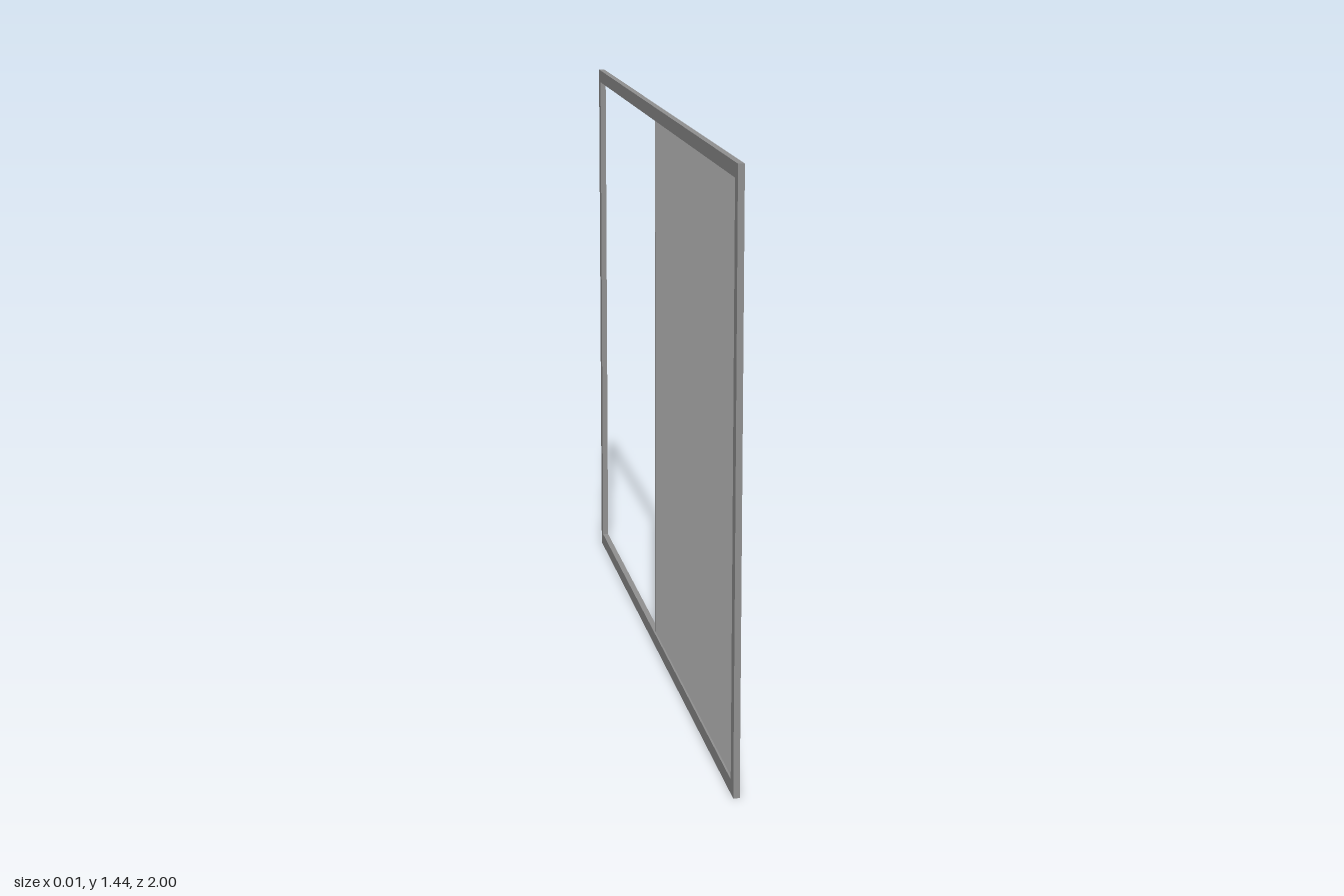
import * as THREE from 'three';

const HEIGHT = 1.44, STILE = 0.03, RAIL = 0.034, DEPTH = 0.015;

export function createModel() {
  const group = new THREE.Group();
  const frameMat = new THREE.MeshStandardMaterial({ color: 0x909090 });
  const panelMat = new THREE.MeshStandardMaterial({ color: 0xcccccc });

  function box(name, w, h, d, x, y, z, mat) {
    const mesh = new THREE.Mesh(new THREE.BoxGeometry(w, h, d), mat);
    mesh.name = name;
    mesh.position.set(x, y, z);
    group.add(mesh);
  }

  // Outer frame: one rectangle with a rectangular opening
  const outline = new THREE.Shape([
    [-1, 0], [1, 0], [1, HEIGHT], [-1, HEIGHT],
  ].map(([a, b]) => new THREE.Vector2(a, b)));
  const a = 1 - STILE, b = HEIGHT - RAIL;
  outline.holes.push(new THREE.Path([
    [-a, RAIL], [-a, b], [a, b], [a, RAIL],
  ].map(([p, q]) => new THREE.Vector2(p, q))));
  const frameGeo = new THREE.ExtrudeGeometry(outline, { depth: DEPTH, bevelEnabled: false });
  frameGeo.translate(0, 0, -DEPTH / 2);
  frameGeo.rotateY(Math.PI / 2);
  const frame = new THREE.Mesh(frameGeo, frameMat);
  frame.name = 'frame';
  group.add(frame);

  // Sliding panel filling the front half of the opening
  const front = 0.965, back = -0.054, opening = HEIGHT - 2 * RAIL;
  box('panel', 0.006, opening, front - back, 0, HEIGHT / 2, (front + back) / 2, panelMat);

  // Narrow trim on the free edge of the panel
  box('panelEdge', 0.008, opening, 0.006, 0, HEIGHT / 2, back - 0.003, frameMat);

  return group;
}
